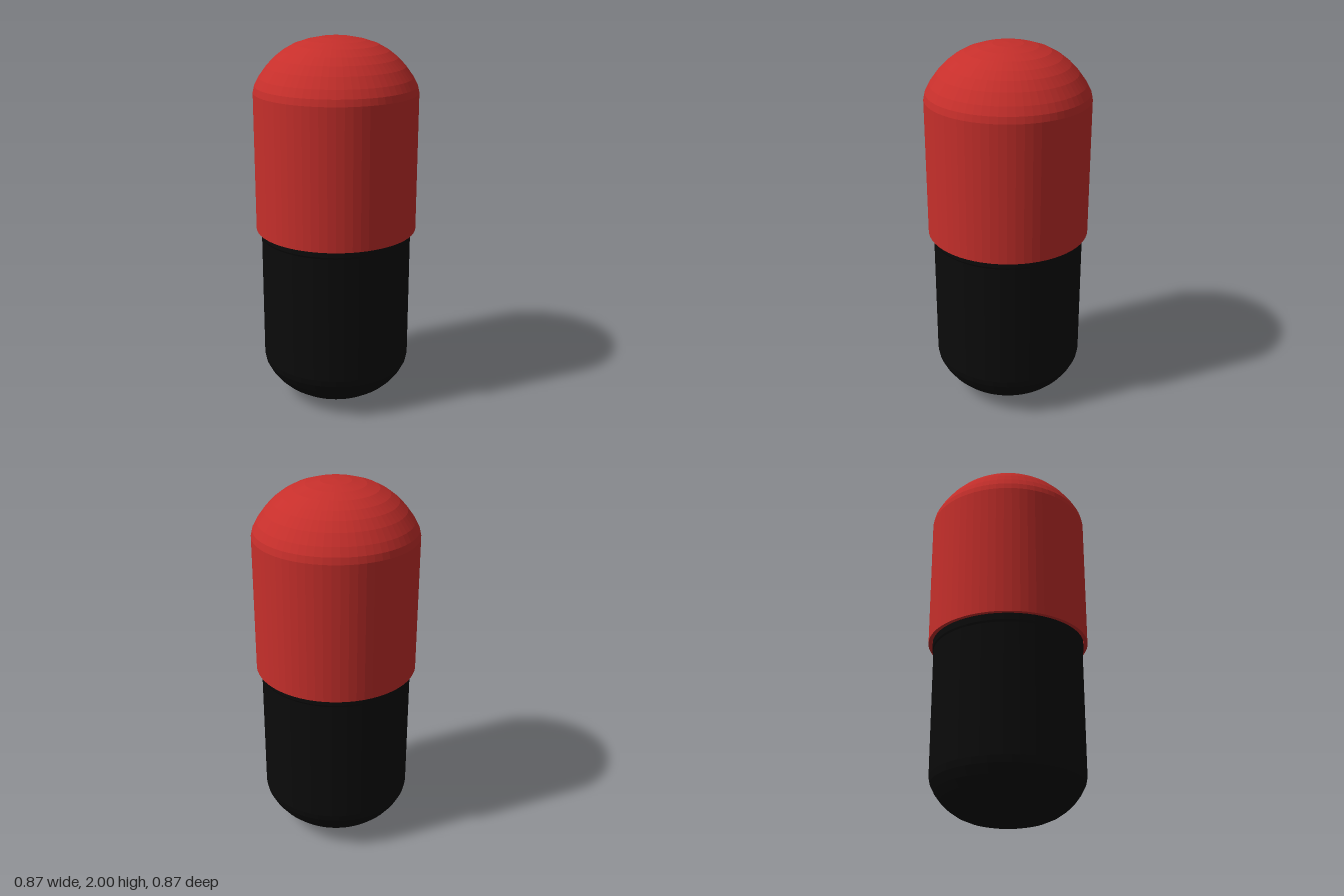
import * as THREE from 'three';

const SEGMENTS = 64;

// Revolves [radius, height] points, listed from bottom to top
function turned(name, points, color) {
  const profile = points.map(([r, y]) => new THREE.Vector2(r, y));
  const material = new THREE.MeshStandardMaterial({ color, flatShading: true });
  const mesh = new THREE.Mesh(new THREE.LatheGeometry(profile, SEGMENTS), material);
  mesh.name = name;
  return mesh;
}

export function createModel() {
  const capsule = new THREE.Group();
  capsule.name = 'capsule';

  // Lower shell: rounded base, straight wall, slightly wider collar tucked into the cap
  capsule.add(turned('lowerShell', [
    [0, 0], [0.09, 0.003], [0.15, 0.011], [0.21, 0.026], [0.265, 0.05], [0.31, 0.081],
    [0.345, 0.115], [0.375, 0.155], [0.398, 0.2], [0.405, 0.235],
    [0.405, 0.93], [0.41, 0.94], [0.41, 1.2], [0, 1.2],
  ], 0x0b0b0b));

  // Upper cap: inner wall, thin rim, straight outer wall and dome
  capsule.add(turned('upperCap', [
    [0.412, 1.2], [0.412, 0.975], [0.433, 0.975], [0.433, 1.715], [0.425, 1.75],
    [0.402, 1.793], [0.362, 1.848], [0.32, 1.892], [0.275, 1.927], [0.22, 1.958],
    [0.155, 1.98], [0.08, 1.995], [0, 2],
  ], 0xc62f2b));

  return capsule;
}
